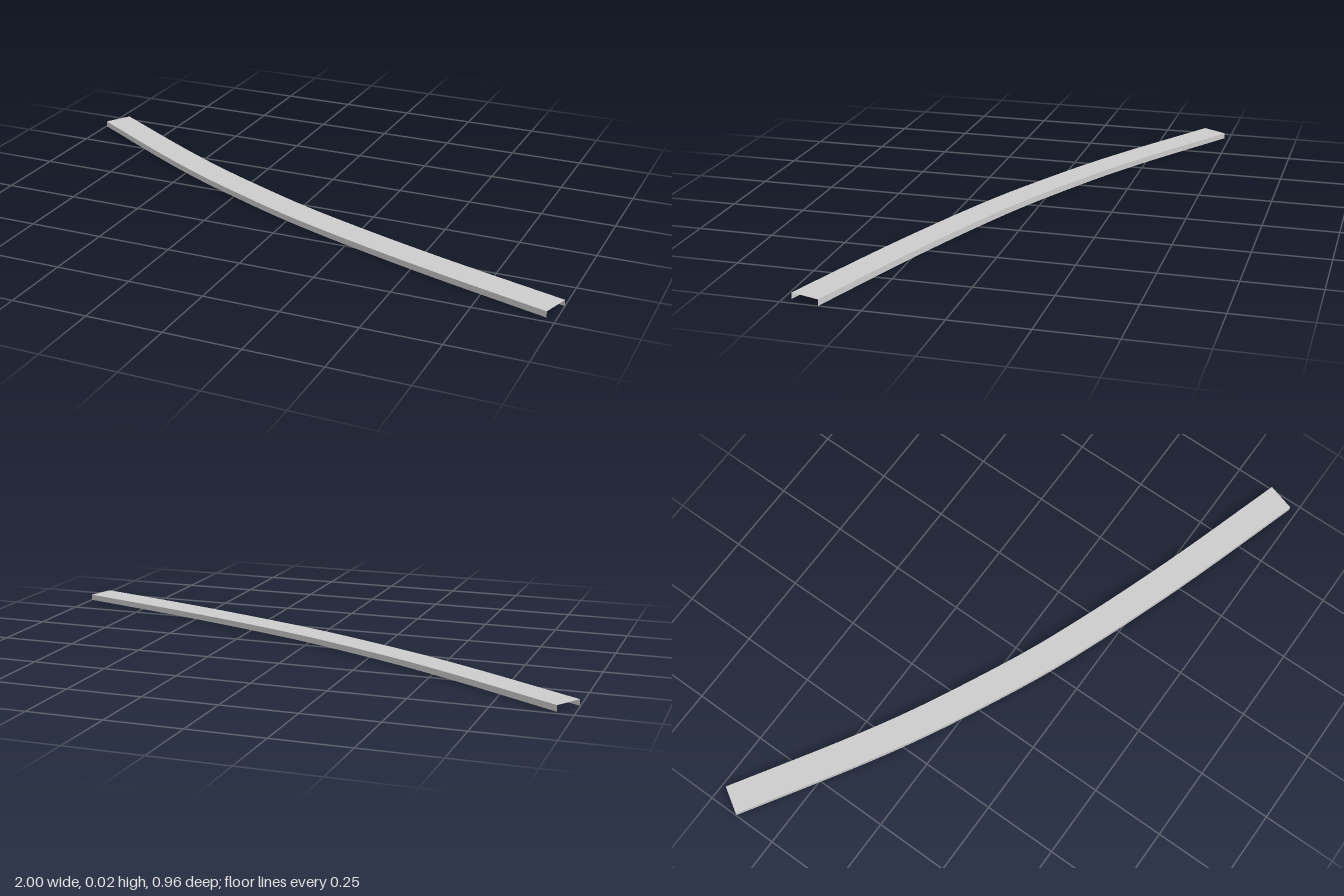
import * as THREE from 'three';

const HEIGHT = 0.02, HALF_WIDTH = 0.049, SEGMENTS = 32;

// Plan of the centre line, as x and z
const path = new THREE.CatmullRomCurve3([
  [-0.972, -0.44], [-0.6, -0.212], [-0.4, -0.1], [-0.2, -0.001],
  [0, 0.091], [0.2, 0.17], [0.4, 0.242], [0.6, 0.309], [0.985, 0.428],
].map(([x, z]) => new THREE.Vector3(x, 0, z)), false, 'centripetal');

// Sweeps one edge of the cross-section, from a to b as [sideways, height], along the path
function strip(name, a, b, material) {
  const positions = [], index = [];
  for (let i = 0; i <= SEGMENTS; i++) {
    const p = path.getPointAt(i / SEGMENTS);
    const t = path.getTangentAt(i / SEGMENTS);
    for (const [side, y] of [a, b]) positions.push(p.x - t.z * side, y, p.z + t.x * side);
    if (i < SEGMENTS) {
      const k = i * 2;
      index.push(k, k + 1, k + 2, k + 1, k + 3, k + 2);
    }
  }
  const geometry = new THREE.BufferGeometry();
  geometry.setAttribute('position', new THREE.Float32BufferAttribute(positions, 3));
  geometry.setIndex(index);
  geometry.computeVertexNormals();
  const mesh = new THREE.Mesh(geometry, material);
  mesh.name = name;
  return mesh;
}

export function createModel() {
  const group = new THREE.Group();
  group.name = 'curvedChannel';
  const material = new THREE.MeshStandardMaterial({ color: 0xcccccc, side: THREE.DoubleSide });
  const w = HALF_WIDTH, h = HEIGHT;

  // Open-ended channel: a flat top with a flange hanging from each edge
  group.add(
    strip('topPlate', [-w, h], [w, h], material),
    strip('frontFlange', [w, h], [w, 0], material),
    strip('backFlange', [-w, 0], [-w, h], material),
  );
  return group;
}
